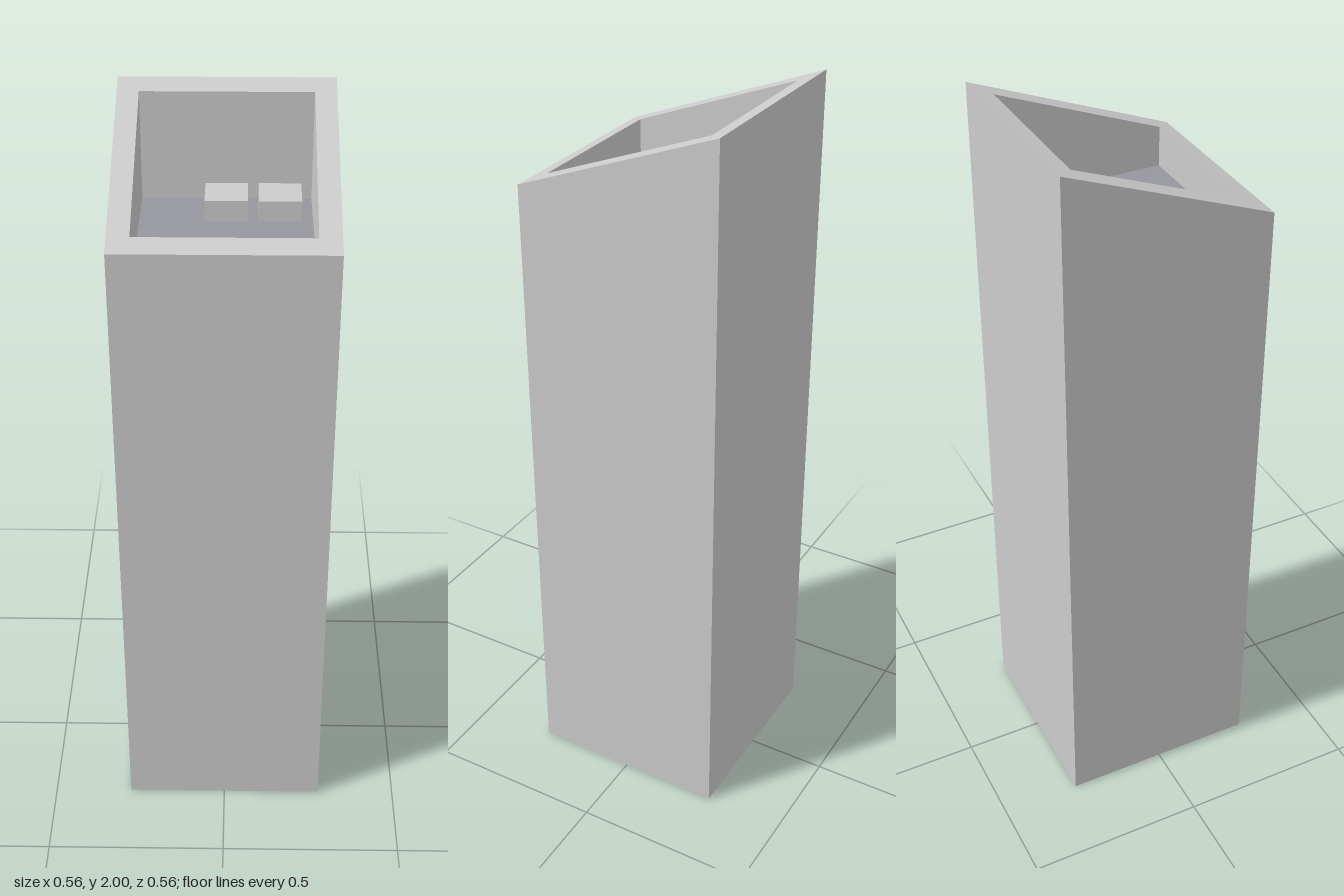
import * as THREE from 'three';

const HALF = 0.278, INNER_X = 0.222, INNER_Z = 0.228, FLOOR = 1.69;
const FRONT_Y = 1.78, BACK_Y = 2;

// height of the slanted top at depth z
const slope = (z) => THREE.MathUtils.mapLinear(z, HALF, -HALF, FRONT_Y, BACK_Y);

// rectangular loop, counter-clockwise from above
const loop = (hx, hz, y) =>
  [[-1, 1], [1, 1], [1, -1], [-1, -1]].map(([sx, sz]) => [sx * hx, y(sz * hz), sz * hz]);

// closed bottom, outer walls, slanted rim and recess walls
function casingGeometry() {
  const loops = [
    loop(HALF, HALF, () => 0),
    loop(HALF, HALF, slope),
    loop(INNER_X, INNER_Z, slope),
    loop(INNER_X, INNER_Z, () => FLOOR),
  ];
  const index = [0, 2, 1, 0, 3, 2];
  for (let k = 0; k < loops.length - 1; k++) {
    for (let i = 0; i < 4; i++) {
      const a = k * 4 + i, b = k * 4 + (i + 1) % 4;
      index.push(a, b, b + 4, a, b + 4, a + 4);
    }
  }
  const indexed = new THREE.BufferGeometry();
  indexed.setAttribute('position', new THREE.Float32BufferAttribute(loops.flat(2), 3));
  indexed.setIndex(index);
  const geometry = indexed.toNonIndexed();
  geometry.computeVertexNormals();
  return geometry;
}

export function createModel() {
  const model = new THREE.Group();
  model.name = 'pedestal';
  const grey = new THREE.MeshStandardMaterial({ color: 0xcccccc, flatShading: true });
  const panel = new THREE.MeshStandardMaterial({ color: 0x96969e });

  const add = (name, geometry, material, x, y, z) => {
    const mesh = new THREE.Mesh(geometry, material);
    mesh.name = name;
    mesh.position.set(x, y, z);
    model.add(mesh);
    return mesh;
  };

  add('casing', casingGeometry(), grey, 0, 0, 0);

  // darker panel on the recess floor
  const floor = new THREE.PlaneGeometry(INNER_X * 2, INNER_Z * 2).rotateX(-Math.PI / 2);
  add('recessFloor', floor, panel, 0, FLOOR, 0);

  // two square buttons near the back of the recess
  const button = new THREE.BoxGeometry(0.11, 0.055, 0.11);
  [['middleButton', 0], ['leftButton', 0.138]].forEach(([name, x]) =>
    add(name, button, grey, x, FLOOR + 0.0275, -0.145));

  return model;
}
